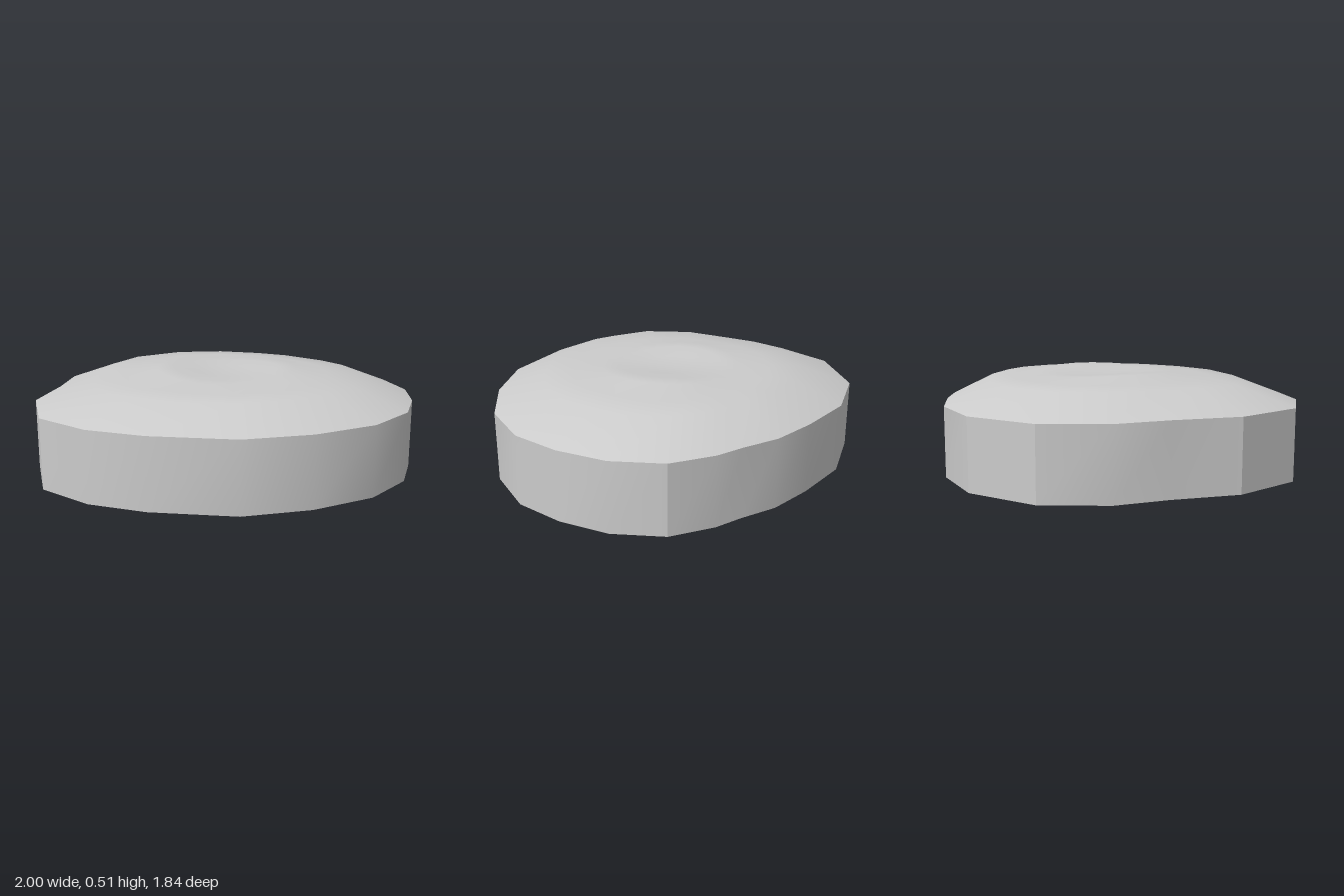
import * as THREE from 'three';
import { toCreasedNormals } from 'three/addons/utils/BufferGeometryUtils.js';

// Irregular outline, as x, z corners running from the back round by +x
const OUTLINE = [
  [0, -0.92], [0.3, -0.81], [0.52, -0.7], [0.67, -0.57], [0.79, -0.48],
  [0.94, -0.3], [1, -0.04], [0.97, 0.22], [0.88, 0.47], [0.67, 0.7],
  [0.36, 0.85], [0.02, 0.92], [-0.4, 0.85], [-0.68, 0.74], [-0.92, 0.53],
  [-1, 0.16], [-0.92, -0.17], [-0.88, -0.44], [-0.71, -0.73], [-0.36, -0.92],
];
const N = OUTLINE.length;

// Slightly tilted rim height
const rimY = (x, z) => 0.371 - 0.005 * x + 0.005 * z;

// Joins closed rings of points with quads; optional last point closes the middle
function loft(rings, centre) {
  const pos = rings.flat(2), index = [];
  rings.slice(1).forEach((_, r) => {
    for (let i = 0; i < N; i++) {
      const j = (i + 1) % N, a = r * N, b = a + N;
      index.push(a + i, b + i, a + j, a + j, b + i, b + j);
    }
  });
  if (centre) {
    const c = pos.length / 3, a = c - N;
    pos.push(...centre);
    for (let i = 0; i < N; i++) index.push(a + i, c, a + (i + 1) % N);
  }
  const g = new THREE.BufferGeometry();
  g.setAttribute('position', new THREE.Float32BufferAttribute(pos, 3));
  g.setIndex(index);
  g.computeVertexNormals();
  return g;
}

export function createModel() {
  const group = new THREE.Group();
  const material = new THREE.MeshStandardMaterial({ color: 0xcccccc, side: THREE.DoubleSide });
  const add = (name, geometry) => {
    const mesh = new THREE.Mesh(geometry, material);
    mesh.name = name;
    group.add(mesh);
  };

  // Side wall, open underneath
  const rim = OUTLINE.map(([x, z]) => [x, rimY(x, z), z]);
  const foot = rim.map(([x, y, z]) => [x, y - 0.36, z]);
  add('sideWall', toCreasedNormals(loft([foot, rim].reverse().map((r) => [...r].reverse())), 0.42));

  // Domed top: each step is [scale, height, lift of the two side ridges, roundness]
  const steps = [
    [0.73, 0.473, 0, 0.3], [0.57, 0.482, 0, 0.6], [0.4, 0.504, 0.009, 1],
    [0.3, 0.503, 0.009, 1], [0.16, 0.492, 0.002, 1],
  ];
  const rings = steps.map(([s, y, lift, round]) => OUTLINE.map(([x, z]) => {
    const len = Math.hypot(x, z);
    const k = s * THREE.MathUtils.lerp(1, 0.93 / len, round);
    const twist = Math.cos(2 * Math.atan2(z, x));
    return [x * k, y + lift * twist, z * k];
  }));
  add('domedTop', loft([rim, ...rings], [0, 0.487, 0]));
  return group;
}
